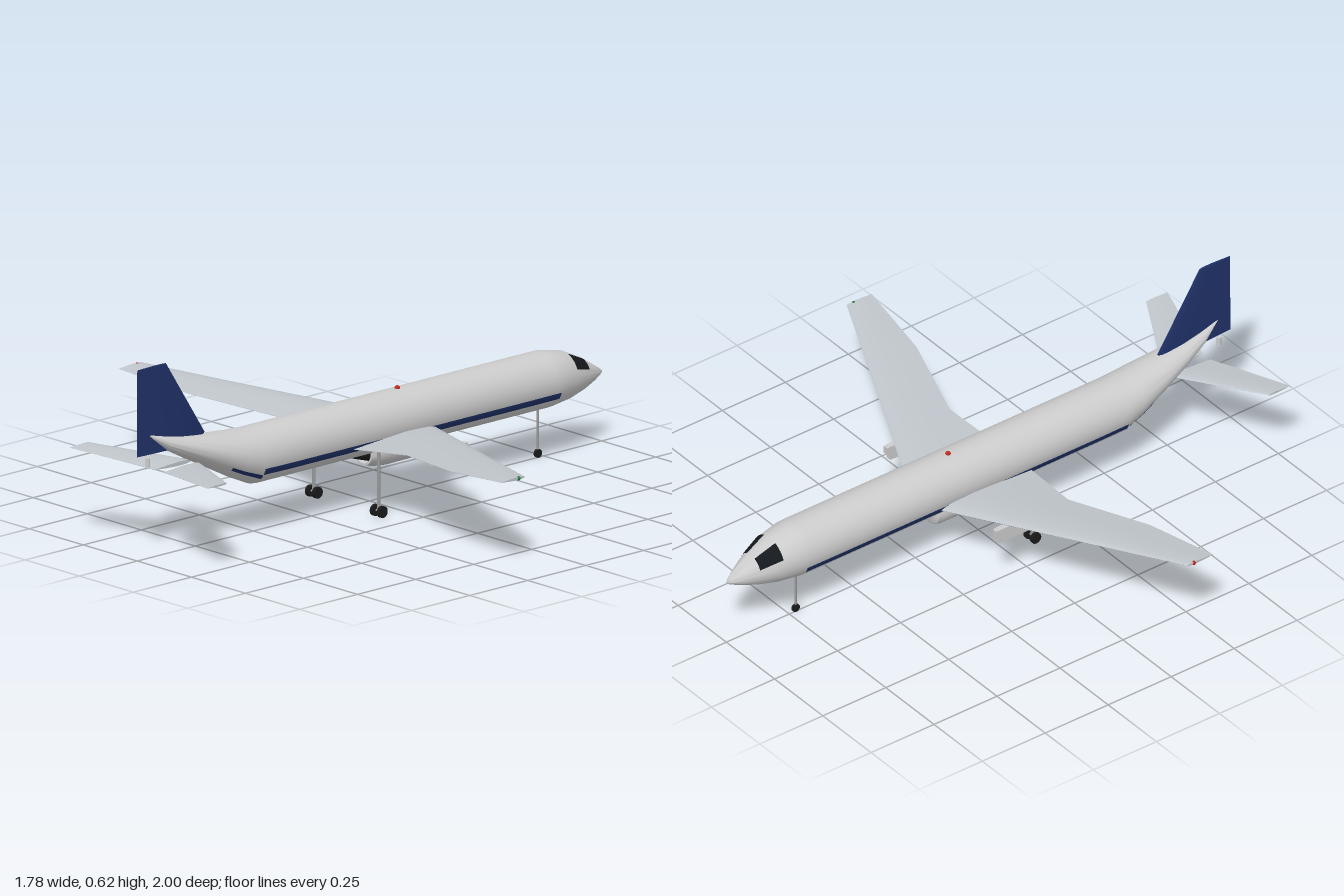
import * as THREE from 'three';
import { toCreasedNormals } from 'three/addons/utils/BufferGeometryUtils.js';

const mat = (color, side = THREE.FrontSide) => new THREE.MeshStandardMaterial({ color, side });
const V = (x, y, z) => new THREE.Vector3(x, y, z);

// Closed skin through equal-length rings of points, with capped ends, always facing outwards
function loft(rings, crease = 0.6) {
  const n = rings[0].length, pts = rings.flat(), idx = [];
  for (let r = 0; r < rings.length - 1; r++)
    for (let i = 0; i < n; i++) {
      const a = r * n + i, b = r * n + (i + 1) % n;
      idx.push(a, b, b + n, a, b + n, a + n);
    }
  const last = (rings.length - 1) * n;
  for (let i = 1; i < n - 1; i++) idx.push(0, i + 1, i, last, last + i, last + i + 1);
  let volume = 0;
  for (let i = 0; i < idx.length; i += 3)
    volume += pts[idx[i]].dot(pts[idx[i + 1]].clone().cross(pts[idx[i + 2]]));
  if (volume < 0) idx.reverse();
  const g = new THREE.BufferGeometry().setFromPoints(pts);
  g.setIndex(idx);
  return toCreasedNormals(g, crease);
}

// Fuselage stations: z, top, bottom, half width
const stations = [
  [-1, 0.232, 0.228, 0.003], [-0.985, 0.244, 0.219, 0.013], [-0.95, 0.266, 0.205, 0.032],
  [-0.9, 0.297, 0.188, 0.054], [-0.83, 0.330, 0.172, 0.078], [-0.75, 0.346, 0.163, 0.0915],
  [-0.73, 0.347, 0.162, 0.0925], [0.51, 0.347, 0.162, 0.0925], [0.53, 0.347, 0.164, 0.0925],
  [0.6, 0.350, 0.195, 0.088], [0.7, 0.360, 0.247, 0.072], [0.8, 0.373, 0.299, 0.051],
  [0.88, 0.387, 0.342, 0.030], [0.95, 0.404, 0.398, 0.003],
];

// Point on the fuselage at station z and angle a above the horizontal
function skin(z, a, lift = 0) {
  let i = 0;
  while (i < stations.length - 2 && z > stations[i + 1][0]) i++;
  const p = stations[i], q = stations[i + 1];
  const t = (z - p[0]) / (q[0] - p[0]);
  const [top, bottom, half] = [1, 2, 3].map(k => p[k] + (q[k] - p[k]) * t);
  return V(Math.cos(a) * (half + lift), (top + bottom) / 2 + Math.sin(a) * ((top - bottom) / 2 + lift), z);
}

// Thin panel lying on the fuselage; side = 1 or -1
function panel(z0, z1, a0, a1, side) {
  const g = new THREE.PlaneGeometry(1, 1, 6, 12), p = g.attributes.position;
  for (let i = 0; i < p.count; i++) {
    const s = skin(z0 + (z1 - z0) * (p.getY(i) + 0.5), a0 + (a1 - a0) * (p.getX(i) + 0.5), 0.0012);
    p.setXYZ(i, s.x * side, s.y, s.z);
  }
  g.computeVertexNormals();
  return g;
}

// Aerofoil outline: chord fraction, half-thickness fraction
const upper = [[0, 0], [0.03, 0.45], [0.12, 0.8], [0.35, 1], [0.65, 0.65], [1, 0.06]];
const foil = [...upper, ...upper.slice(1).reverse().map(([c, t]) => [c, -t])];

// Lifting surface; sections: span x, height y, leading z, trailing z, thickness
const surface = (sections, side) => loft(sections.map(([x, y, z0, z1, t]) =>
  foil.map(([c, h]) => V(side * x, y + h * t / 2, z0 + (z1 - z0) * c))));

export function createModel() {
  const model = new THREE.Group();
  const white = mat(0xe6e6e6), wingGrey = mat(0xbfc5ca), navy = mat(0x1f3168);
  const navySkin = mat(0x1f3168, THREE.DoubleSide), glass = mat(0x15181c, THREE.DoubleSide);
  const metal = mat(0xcccccc), strutGrey = mat(0x999999), rubber = mat(0x1a1a1a), red = mat(0xc0281e);
  const add = (name, geometry, material, x = 0, y = 0, z = 0) => {
    const m = new THREE.Mesh(geometry, material);
    m.name = name;
    m.position.set(x, y, z);
    model.add(m);
    return m;
  };

  // Fuselage
  const N = 40;
  add('fuselage', loft(stations.map(([z]) =>
    Array.from({ length: N }, (_, i) => skin(z, i / N * Math.PI * 2))), 1.0), white);

  // Paired parts
  for (const s of [1, -1]) {
    add('cheatLine', panel(-0.745, 0.53, -0.56, -0.3, s), navySkin);
    add('rearCheatLine', panel(0.53, 0.65, -0.78, -0.58, s), navySkin);
    add('cockpitWindow', panel(-0.903, -0.828, 0.42, 1.2, s), glass);

    add('wing', surface([
      [0, 0.208, -0.25, 0.15, 0.036], [0.09, 0.216, -0.21, 0.145, 0.034],
      [0.307, 0.238, -0.11, 0.122, 0.024], [0.605, 0.268, 0.027, 0.218, 0.016],
      [0.885, 0.297, 0.155, 0.255, 0.01]], s), wingGrey);
    add('tailplane', surface([
      [0.02, 0.276, 0.75, 0.905, 0.014], [0.06, 0.280, 0.77, 0.917, 0.014],
      [0.318, 0.304, 0.91, 0.995, 0.007]], s), wingGrey);
    add('wingTipLight', new THREE.SphereGeometry(0.007, 12, 8), s > 0 ? mat(0x1f7a3a) : red, s * 0.882, 0.296, 0.18);

    // Underwing pylon
    add('pylon', new THREE.BoxGeometry(0.02, 0.05, 0.14), metal, s * 0.283, 0.2, -0.07);
    add('pylonTip', new THREE.BoxGeometry(0.018, 0.025, 0.02), metal, s * 0.283, 0.212, -0.142);

    // Main landing gear
    add('mainStrut', new THREE.CylinderGeometry(0.006, 0.006, 0.2, 12), strutGrey, s * 0.15, 0.12, 0.1);
    add('mainAxle', new THREE.CylinderGeometry(0.004, 0.004, 0.03, 10), strutGrey, s * 0.15, 0.02, 0.1).rotation.z = Math.PI / 2;
    for (const d of [-0.016, 0.016])
      add('mainWheel', new THREE.CylinderGeometry(0.019, 0.019, 0.011, 20), rubber, s * 0.15 + d, 0.019, 0.1).rotation.z = Math.PI / 2;
  }

  // Fin, built upright from horizontal slices
  const fin = [[0.34, 0.75, 1, 0.018], [0.367, 0.71, 1, 0.02], [0.625, 0.877, 1, 0.01]];
  add('fin', loft(fin.map(([y, z0, z1, t]) =>
    foil.map(([c, h]) => V(h * t / 2, y, z0 + (z1 - z0) * c)))), navy);
  add('tailLight', new THREE.CylinderGeometry(0.008, 0.008, 0.03, 12), metal, 0, 0.315, 0.955);

  // Belly pod with open rear nozzle and dark exhaust cone
  const pod = [[0, -0.2], [0.044, -0.2], [0.053, -0.195], [0.057, -0.18], [0.058, -0.05],
    [0.054, -0.01], [0.045, 0.03], [0.038, 0.03], [0.036, 0]].map(([r, z]) => new THREE.Vector2(r, z));
  const podMesh = add('bellyPod', toCreasedNormals(new THREE.LatheGeometry(pod, 32), 0.6), mat(0xdddddd, THREE.DoubleSide), 0, 0.168, 0);
  podMesh.rotation.x = Math.PI / 2;
  add('exhaustCone', new THREE.CylinderGeometry(0.006, 0.037, 0.1, 24), rubber, 0, 0.168, 0.05).rotation.x = Math.PI / 2;

  // Nose landing gear
  add('noseStrut', new THREE.CylinderGeometry(0.004, 0.004, 0.165, 12), strutGrey, 0, 0.095, -0.725);
  add('noseWheel', new THREE.CylinderGeometry(0.014, 0.014, 0.009, 20), rubber, 0, 0.014, -0.725).rotation.z = Math.PI / 2;

  // Roof beacon
  add('beacon', new THREE.SphereGeometry(0.009, 12, 8), red, 0, 0.347, -0.12);

  return model;
}
